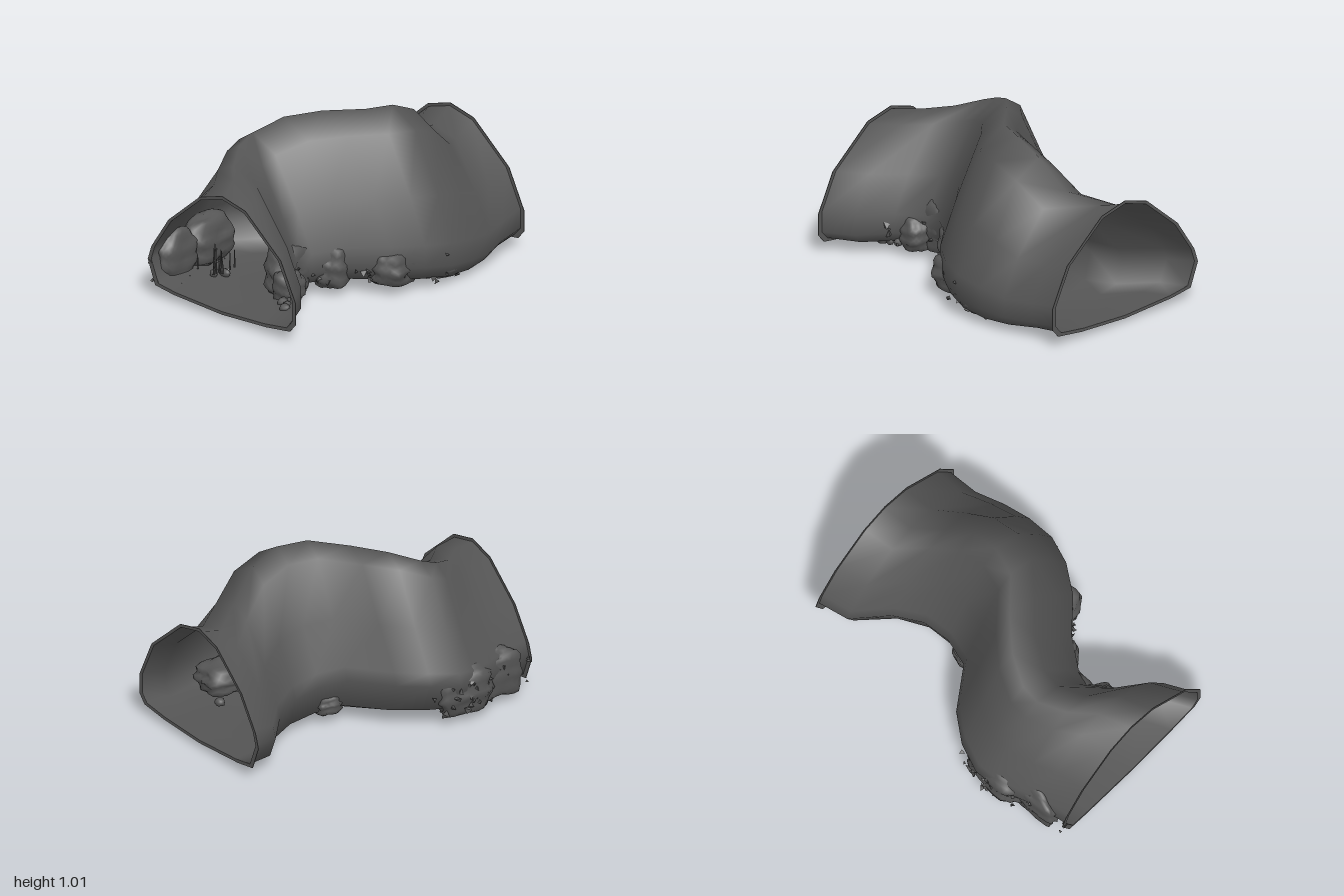
import * as THREE from 'three';
import { mergeVertices } from 'three/addons/utils/BufferGeometryUtils.js';

const stone = new THREE.MeshStandardMaterial({ color: 0x555555, side: THREE.DoubleSide });
stone.name = 'darkStone';

// Small seeded random generator
let seed = 7;
const rnd = () => {
  seed = (seed * 16807) % 2147483647;
  return seed / 2147483647;
};
const range = (a, b) => a + (b - a) * rnd();

// Stations along the tunnel: z, left x, right x, floor y, ceiling y, blend towards the peaked section
const stations = [
  [0.95, -0.515, 0.575, 0.065, 0.757, 0],
  [0.77, -0.55, 0.48, 0.065, 0.79, 0.2],
  [0.63, -0.6, 0.3, 0.07, 0.815, 0.6],
  [0.48, -0.64, 0.19, 0.07, 0.875, 1],
  [0.37, -0.65, 0.2, 0.07, 0.92, 1],
  [0.2, -0.59, 0.32, 0.075, 0.99, 1],
  [0.04, -0.47, 0.5, 0.07, 1.02, 1],
  [-0.13, -0.23, 0.62, 0.055, 1.03, 1],
  [-0.3, -0.18, 0.68, 0.035, 1.02, 1],
  [-0.48, -0.19, 0.68, 0.025, 0.94, 0.9],
  [-0.65, -0.28, 0.65, 0.035, 0.77, 0.5],
  [-0.82, -0.47, 0.59, 0.05, 0.7, 0.1],
  [-1, -0.52, 0.57, 0.065, 0.757, 0],
];
// Unit cross-sections, clockwise from the crown: wide at the mouths, peaked in the middle
const wide = [[0, 1], [0.32, 0.94], [0.8, 0.62], [1, 0.3], [1, 0.12], [0.92, 0.05], [0.6, 0.02],
  [0, 0], [-0.65, 0.03], [-0.9, 0.06], [-1, 0.26], [-0.95, 0.38], [-0.72, 0.65], [-0.3, 0.93]];
const peaked = [[-0.08, 1], [0.34, 0.89], [0.74, 0.53], [1, 0.26], [1, 0.12], [0.9, 0.04], [0.6, 0.01],
  [0, 0], [-0.6, 0.01], [-0.9, 0.06], [-1, 0.24], [-0.94, 0.32], [-0.66, 0.58], [-0.32, 0.92]];

function section([, xl, xr, y0, y1, k], sx = 1, sy = 1) {
  const c = (xl + xr) / 2, w = (xr - xl) / 2, m = (y0 + y1) / 2, h = y1 - y0;
  return wide.map(([u, v], i) => {
    const a = u + (peaked[i][0] - u) * k, b = v + (peaked[i][1] - v) * k;
    return new THREE.Vector2(c + a * w * sx, m + (b - 0.5) * h * sy);
  });
}

function shellGeometry() {
  const pos = [], idx = [], n = wide.length;
  stations.forEach((s) => section(s).forEach((p) => pos.push(p.x, p.y, s[0])));
  for (let i = 0; i < stations.length - 1; i++) {
    for (let j = 0; j < n; j++) {
      const a = i * n + j, b = i * n + (j + 1) % n;
      idx.push(a, b, a + n, b, b + n, a + n);
    }
  }
  const g = new THREE.BufferGeometry();
  g.setAttribute('position', new THREE.Float32BufferAttribute(pos, 3));
  g.setIndex(idx);
  g.computeVertexNormals();
  return g;
}

// Flat ring around a mouth, flaring just outside the shell
function rimGeometry(station) {
  const shape = new THREE.Shape(section(station, 1.05, 1.055));
  shape.holes.push(new THREE.Path(section(station)));
  return new THREE.ExtrudeGeometry(shape, { depth: 0.004, bevelEnabled: false });
}

// Lumpy layered boulder, flattened where it rests on the floor
function rockGeometry(x, y, z, rx, ry, rz, floor, detail) {
  let g = new THREE.IcosahedronGeometry(1, detail);
  g.deleteAttribute('normal');
  g.deleteAttribute('uv');
  g = mergeVertices(g, 1e-3);
  const p = g.attributes.position, ph = range(0, 6);
  for (let i = 0; i < p.count; i++) {
    const a = p.getX(i), b = p.getY(i), c = p.getZ(i);
    const k = 0.97 + 0.09 * Math.sin(4 * a + ph) * Math.cos(5 * c + ph)
      + 0.06 * Math.sin(11 * b + 2 * a + ph) + range(-0.04, 0.04);
    const box = 1 / Math.pow(a ** 4 + b ** 4 + c ** 4, 0.12);
    p.setXYZ(i, x + a * k * box * rx, Math.max(floor, y + b * k * box * ry), z + c * k * box * rz);
  }
  g.computeVertexNormals();
  return g;
}

export function createModel() {
  const model = new THREE.Group();
  model.name = 'caveTunnel';
  const add = (geo, name, parent = model) => {
    const m = new THREE.Mesh(geo, stone);
    m.name = name;
    parent.add(m);
    return m;
  };
  const group = (name) => {
    const g = new THREE.Group();
    g.name = name;
    model.add(g);
    return g;
  };

  // Tunnel walls and the two mouths
  add(shellGeometry(), 'tunnelShell');
  add(rimGeometry(stations[0]), 'frontRim').position.z = 0.947;
  add(rimGeometry(stations[stations.length - 1]), 'backRim').position.z = -1;

  // Boulders against the walls: x, y, z, half sizes
  const boulders = group('boulders');
  [
    [0.1, 0.2, 0.46, 0.1, 0.18, 0.15],
    [0.2, 0.15, 0.56, 0.09, 0.11, 0.09],
    [0.2, 0.18, 0.2, 0.12, 0.15, 0.12],
    [0.44, 0.17, -0.05, 0.13, 0.13, 0.15],
    [0.5, 0.13, -0.42, 0.15, 0.11, 0.22],
    [-0.55, 0.2, 0.45, 0.1, 0.16, 0.2],
    [-0.52, 0.2, 0.72, 0.06, 0.16, 0.16],
    [-0.13, 0.13, -0.2, 0.07, 0.07, 0.09],
  ].forEach((b) => add(rockGeometry(...b, 0.06, 5), 'boulder', boulders));

  // Pebbles on the floor
  const pebbles = group('pebbles');
  [[0.24, 0.66], [0.29, 0.68], [0.27, 0.63], [0.31, 0.72], [-0.35, 0.6], [-0.31, 0.55],
    [-0.4, 0.5], [-0.06, -0.3], [-0.08, -0.15], [0.3, -0.65]].forEach(([x, z]) =>
    add(rockGeometry(x, 0.095, z, range(0.02, 0.04), 0.025, range(0.02, 0.035), 0.07, 1), 'pebble', pebbles));

  // Thin upright spikes near the front mouth
  const spikes = group('spikes');
  for (let i = 0; i < 16; i++) {
    const h = range(0.05, 0.15);
    const s = add(new THREE.CylinderGeometry(0.002, 0.006, h, 5), 'spike', spikes);
    const near = i % 2;
    s.position.set(near ? range(-0.46, -0.4) : range(-0.37, -0.29), 0.1 + h / 2, range(0.45, 0.65));
  }

  // Jagged shards breaking through the lower walls
  const shards = group('shards');
  const wallX = (z, side) => {
    let i = 0;
    while (i < stations.length - 2 && stations[i + 1][0] > z) i++;
    const a = stations[i], b = stations[i + 1];
    const t = (a[0] - z) / (a[0] - b[0]);
    return a[side] + (b[side] - a[side]) * t;
  };
  const scatter = (count, side, z0, z1, y1) => {
    for (let i = 0; i < count; i++) {
      const z = range(z0, z1), dir = side === 1 ? -1 : 1;
      const s = add(new THREE.TetrahedronGeometry(range(0.015, 0.035)), 'shard', shards);
      s.scale.set(1, range(0.4, 1.2), 0.6);
      s.rotation.set(range(0, 6), range(0, 6), range(0, 6));
      s.position.set(wallX(z, side) + dir * range(-0.01, 0.012), range(0.09, y1), z);
    }
  };
  scatter(34, 1, 0.2, 0.95, 0.27);
  scatter(26, 2, -0.28, 0.66, 0.25);

  // Fragments showing under the floor
  for (let i = 0; i < 14; i++) {
    const right = i % 2;
    const s = add(new THREE.TetrahedronGeometry(0.022), 'floorShard', shards);
    s.rotation.set(range(0, 6), range(0, 6), range(0, 6));
    s.position.set(right ? range(0.35, 0.6) : range(-0.55, -0.35), right ? 0.04 : 0.075,
      right ? range(-0.55, -0.2) : range(0.35, 0.85));
  }
  return model;
}
